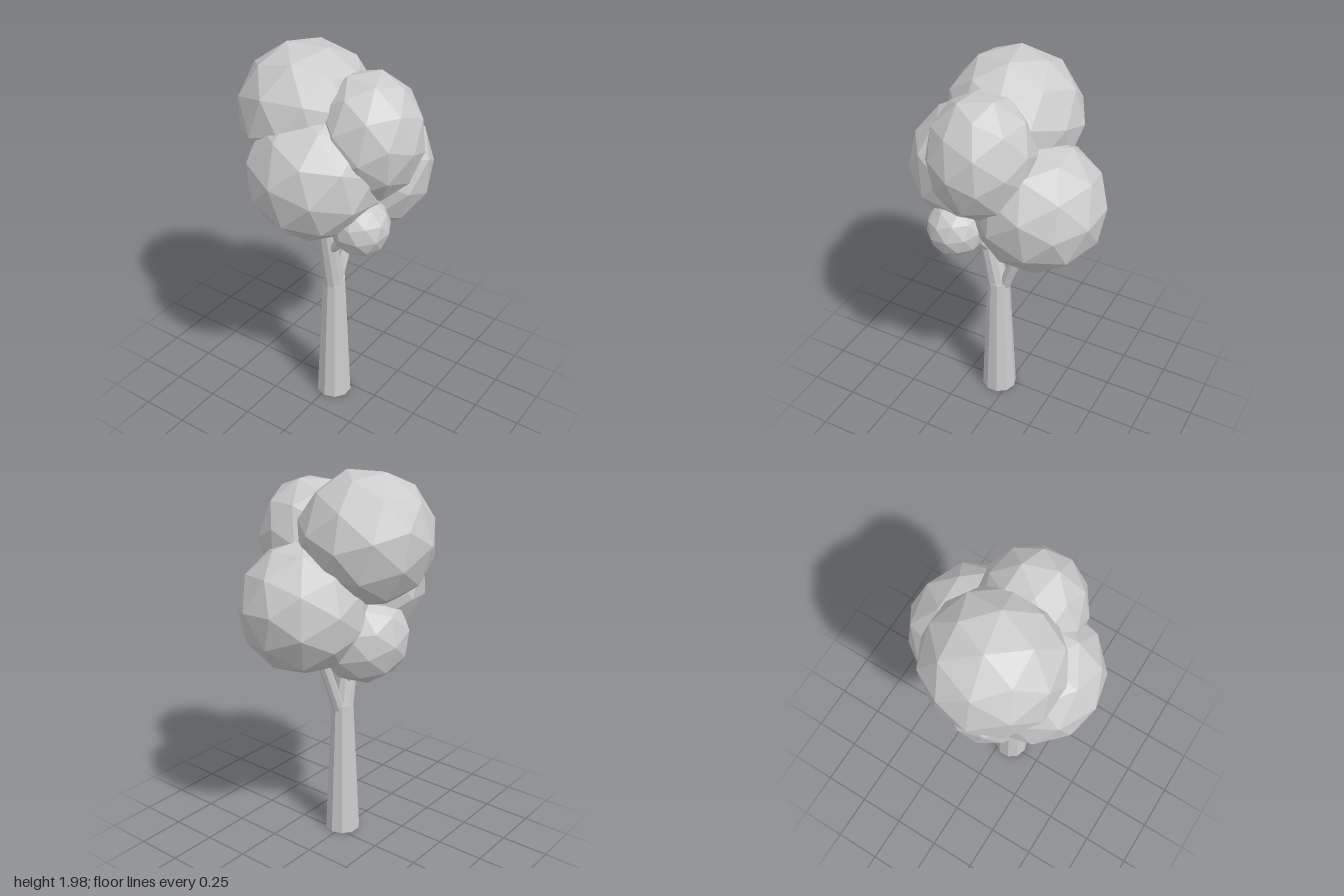
import * as THREE from 'three';

const bark = new THREE.MeshStandardMaterial({ color: 0xcccccc, flatShading: true });
const leaf = new THREE.MeshStandardMaterial({ color: 0xcccccc, flatShading: true });

// Tapered faceted limb between two points
function limb(name, from, to, r0, r1, sides) {
  const a = new THREE.Vector3(...from);
  const b = new THREE.Vector3(...to);
  const dir = b.clone().sub(a);
  const mesh = new THREE.Mesh(new THREE.CylinderGeometry(r1, r0, dir.length(), sides), bark);
  mesh.name = name;
  mesh.position.copy(a).add(b).multiplyScalar(0.5);
  mesh.quaternion.setFromUnitVectors(new THREE.Vector3(0, 1, 0), dir.normalize());
  return mesh;
}

// Faceted ball of leaves, turned and then scaled to its radii
function foliage(name, center, radii, turn) {
  const geometry = new THREE.IcosahedronGeometry(1, 1);
  geometry.rotateX(turn[0]).rotateY(turn[1]).rotateZ(turn[2]);
  geometry.scale(...radii);
  const mesh = new THREE.Mesh(geometry, leaf);
  mesh.name = name;
  mesh.position.set(...center);
  return mesh;
}

export function createModel() {
  const tree = new THREE.Group();
  tree.name = 'tree';

  // Trunk and the limbs that fork from it
  tree.add(
    limb('trunk', [0.02, 0, 0.06], [0.02, 0.75, 0.058], 0.095, 0.059, 10),
    limb('frontBranch', [0.02, 0.72, 0.06], [0.02, 1.2, 0.155], 0.057, 0.043, 10),
    limb('backBranch', [0.02, 0.73, 0.025], [0.04, 1.15, -0.135], 0.032, 0.027, 8),
    limb('leftTwig', [0.03, 0.95, 0.11], [0.23, 1.2, 0.16], 0.026, 0.02, 8),
    limb('rightTwig', [0.01, 0.86, 0.08], [-0.12, 1.15, 0.04], 0.026, 0.02, 8),
  );

  // Crown
  const crown = new THREE.Group();
  crown.name = 'crown';
  const balls = [
    ['topFoliage', [-0.135, 1.663, 0.045], [0.342, 0.337, 0.342], [0.55, 0.2, 0]],
    ['leftFoliage', [0.205, 1.61, 0.038], [0.265, 0.32, 0.265], [0.5, 0.9, 0.1]],
    ['frontFoliage', [0, 1.43, 0.18], [0.34, 0.337, 0.34], [0.2, 0.5, 0.3]],
    ['backFoliage', [0.06, 1.335, -0.185], [0.333, 0.333, 0.333], [0.3, 1.2, 0.2]],
    ['lowerFoliage', [-0.135, 1.175, 0.02], [0.24, 0.24, 0.24], [0.1, 0.8, 0.4]],
    ['smallFoliage', [0.245, 1.203, 0.165], [0.148, 0.148, 0.148], [0.4, 0.3, 0.6]],
  ];
  for (const ball of balls) crown.add(foliage(...ball));
  tree.add(crown);
  return tree;
}
